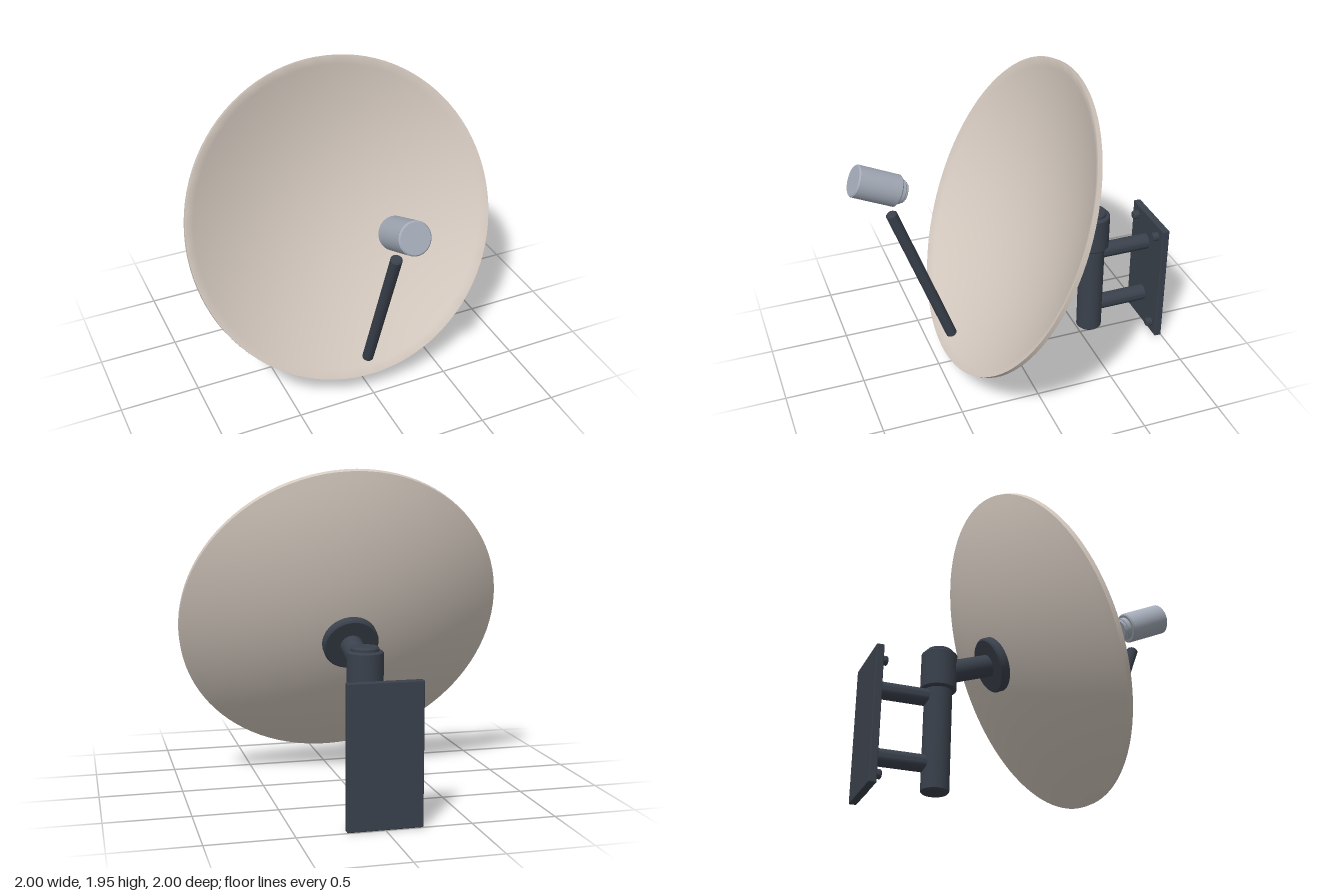
import * as THREE from 'three';
import { toCreasedNormals } from 'three/addons/utils/BufferGeometryUtils.js';
import { RoundedBoxGeometry } from 'three/addons/geometries/RoundedBoxGeometry.js';

const UP = new THREE.Vector3(0, 1, 0);
const TILT = THREE.MathUtils.degToRad(25);
const AXIS = new THREE.Vector3(0, Math.sin(TILT), Math.cos(TILT)); // where the dish looks
const RIM = new THREE.Vector3(0, 1.047, 0.053); // centre of the rim plane

export function createModel() {
  const root = new THREE.Group();
  root.name = 'satelliteDish';
  const cream = new THREE.MeshStandardMaterial({ color: 0xd3c8be });
  const charcoal = new THREE.MeshStandardMaterial({ color: 0x3a414c });
  const grey = new THREE.MeshStandardMaterial({ color: 0xa3abb7 });
  cream.name = 'cream';
  charcoal.name = 'charcoal';
  grey.name = 'grey';

  const add = (name, geometry, material) => {
    const mesh = new THREE.Mesh(geometry, material);
    mesh.name = name;
    root.add(mesh);
    return mesh;
  };

  // Turned solid: profile of [radius, height], crisp at the corners
  const turned = (profile, segments) => toCreasedNormals(
    new THREE.LatheGeometry(profile.map(([r, h]) => new THREE.Vector2(r, h)), segments), 0.5);

  // Cylinder with bevelled ends between two points
  const rod = (name, a, b, r, material = charcoal, bevel = 0.01) => {
    const dir = b.clone().sub(a);
    const len = dir.length();
    const mesh = add(name, turned([
      [0, 0], [r - bevel, 0], [r, bevel], [r, len - bevel], [r - bevel, len], [0, len],
    ], 40), material);
    mesh.position.copy(a);
    mesh.quaternion.setFromUnitVectors(UP, dir.normalize());
    return mesh;
  };
  const v = (x, y, z) => new THREE.Vector3(x, y, z);
  const along = (origin, d) => origin.clone().addScaledVector(AXIS, d);

  // Parabolic reflector: back surface, rim band, then front surface
  const profile = [];
  const steps = 20;
  for (let i = 0; i <= steps; i++) {
    const r = i / steps;
    profile.push([r, -0.28 + 0.25 * r * r]);
  }
  for (let i = steps; i >= 0; i--) {
    const r = i / steps;
    profile.push([r * 0.995, -0.25 + 0.25 * r * r]);
  }
  profile.splice(steps + 1, 0, [1, 0]);
  const reflector = add('reflector', turned(profile, 96), cream);
  reflector.position.copy(RIM);
  reflector.quaternion.setFromUnitVectors(UP, AXIS);

  // Hub on the back of the reflector and its neck to the mast
  rod('hubDisc', along(RIM, -0.335), along(RIM, -0.275), 0.17);
  rod('hubNeck', along(RIM, -0.32), v(0, 0.8, -0.56), 0.068);

  // Mast with clamp collar
  rod('mast', v(0, 0.055, -0.56), v(0, 0.95, -0.56), 0.083);
  rod('mastCollar', v(0, 0.685, -0.56), v(0, 0.925, -0.56), 0.107);

  // Wall plate, standoffs and bolts
  add('wallPlate', new RoundedBoxGeometry(0.434, 0.825, 0.046, 2, 0.006), charcoal)
    .position.set(0, 0.4135, -0.977);
  for (const y of [0.225, 0.635]) {
    rod('standoff', v(0, y, -0.96), v(0, y, -0.56), 0.052);
  }
  for (const x of [-0.145, 0.145]) {
    for (const y of [0.075, 0.757]) {
      rod('bolt', v(x, y, -0.96), v(x, y, -0.915), 0.028, charcoal, 0.007);
    }
  }

  // Arm rising from the lower rim
  rod('feedArm', v(0, 0.22, 0.403), v(0, 1.2, 0.753), 0.035);

  // Receiver head facing the reflector
  const front = v(0, 1.463, 0.96);
  rod('receiverBody', along(front, -0.28), front, 0.097, grey, 0.008);
  rod('receiverNeck', along(front, -0.31), along(front, -0.27), 0.073, grey, 0.005);
  rod('receiverHorn', along(front, -0.325), along(front, -0.27), 0.064, grey, 0.005);

  return root;
}
